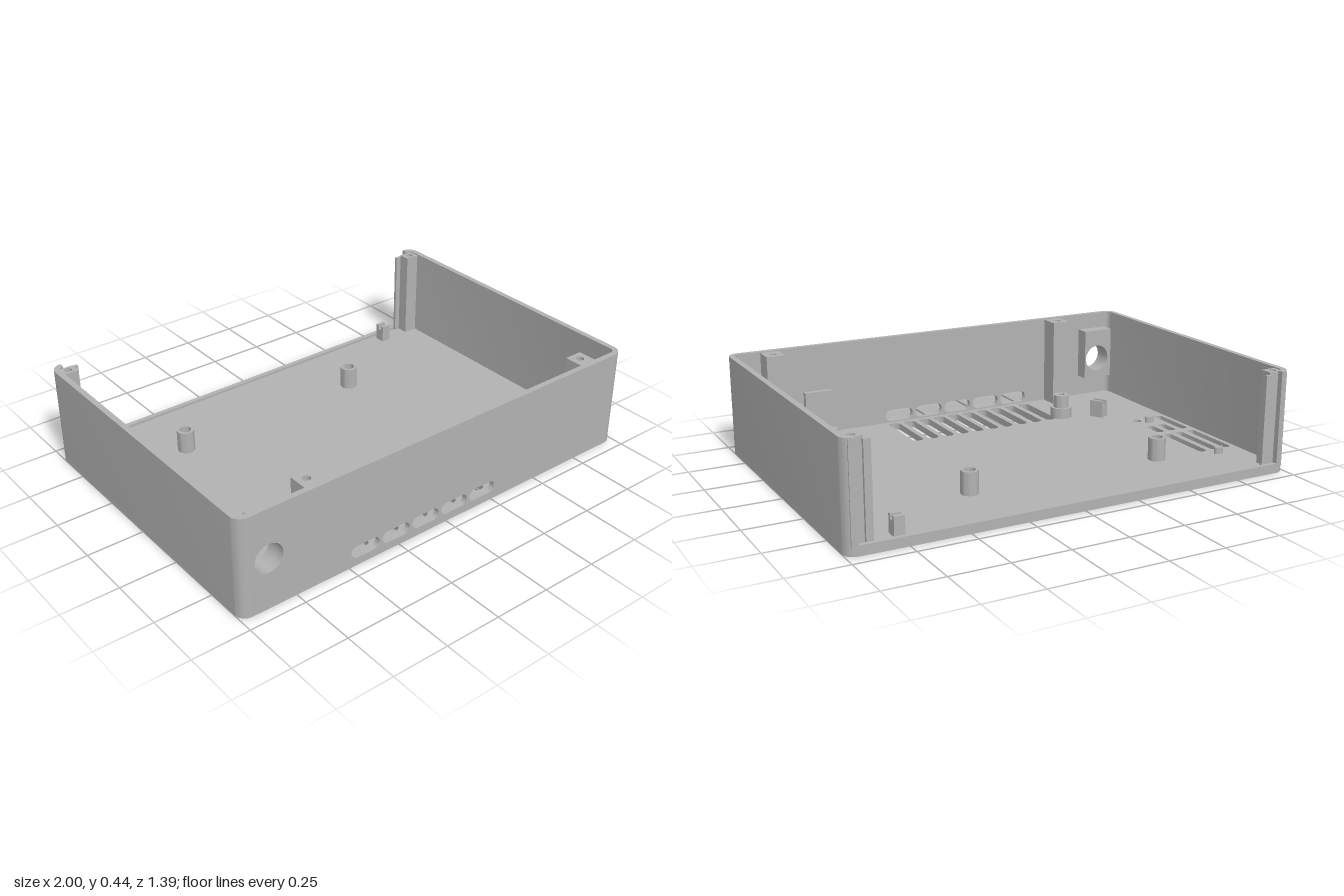
import * as THREE from 'three';
import { toCreasedNormals } from 'three/addons/utils/BufferGeometryUtils.js';

const X = 1, Z = 0.695, H = 0.445, R = 0.05, WALL = 0.025, FLOOR = 0.03;

// Rounded-end slot, used as a hole
function slot(x0, x1, y0, y1) {
  const p = new THREE.Path(), w = x1 - x0, h = y1 - y0, r = Math.min(w, h) / 2 * 0.98;
  p.moveTo(x0 + r, y0);
  p.lineTo(x1 - r, y0); p.absarc(x1 - r, y0 + r, r, -Math.PI / 2, 0);
  p.lineTo(x1, y1 - r); p.absarc(x1 - r, y1 - r, r, 0, Math.PI / 2);
  p.lineTo(x0 + r, y1); p.absarc(x0 + r, y1 - r, r, Math.PI / 2, Math.PI);
  p.lineTo(x0, y0 + r); p.absarc(x0 + r, y0 + r, r, Math.PI, Math.PI * 1.5);
  return p;
}
function circle(x, y, r) {
  return new THREE.Path().absarc(x, y, r, 0, Math.PI * 2);
}
function rect(x0, x1, y0, y1) {
  return new THREE.Shape([[x0, y0], [x1, y0], [x1, y1], [x0, y1]].map(p => new THREE.Vector2(...p)));
}

export function createModel() {
  const model = new THREE.Group();
  model.name = 'openEnclosure';
  const grey = new THREE.MeshStandardMaterial({ color: 0xb2b2b2 });
  grey.name = 'grey plastic';

  function add(name, geometry) {
    const mesh = new THREE.Mesh(geometry, grey);
    mesh.name = name;
    model.add(mesh);
    return mesh;
  }
  const extrude = (shape, depth) => toCreasedNormals(
    new THREE.ExtrudeGeometry(shape, { depth, bevelEnabled: false, curveSegments: 10 }), 0.6);
  // Plan shape (x, -z) raised from y0 to y1
  const raise = (name, shape, y0, y1) =>
    add(name, extrude(shape, y1 - y0).rotateX(-Math.PI / 2).translate(0, y0, 0));
  // Upright shape (x, y) from z0 to z1
  const upright = (name, shape, z0, z1) => add(name, extrude(shape, z1 - z0).translate(0, 0, z0));
  const box = (name, x0, x1, y0, y1, z0, z1) =>
    add(name, new THREE.BoxGeometry(x1 - x0, y1 - y0, z1 - z0)
      .translate((x0 + x1) / 2, (y0 + y1) / 2, (z0 + z1) / 2));

  // Floor with vents
  const floor = new THREE.Shape();
  floor.moveTo(-X + R, -Z);
  floor.lineTo(X - R, -Z); floor.absarc(X - R, -Z + R, R, -Math.PI / 2, 0);
  floor.lineTo(X, Z - R); floor.absarc(X - R, Z - R, R, 0, Math.PI / 2);
  floor.lineTo(-X + R, Z); floor.absarc(-X + R, Z - R, R, Math.PI / 2, Math.PI);
  floor.lineTo(-X, -Z + R); floor.absarc(-X + R, -Z + R, R, Math.PI, Math.PI * 1.5);
  const vent = (cx, w, z0, z1) => floor.holes.push(slot(cx - w / 2, cx + w / 2, -z1, -z0));
  for (let i = 0; i < 10; i++) vent(-0.46 + i * 0.0772, 0.053, 0.35, 0.65);
  [-0.935, -0.87, -0.805].forEach((x, i) => {
    vent(x, 0.037, -0.385, -0.1);
    vent(x, 0.037, -0.065, i ? 0.04 : 0.16);
    if (i) vent(x, 0.037, 0.115, 0.16);
  });
  raise('floor', floor, 0, FLOOR);
  box('rearSill', -0.95, 0.95, FLOOR, 0.042, -Z, -Z + 0.02);

  // Front wall with round port and slots
  const front = rect(-X + R, X - R, FLOOR, H);
  front.holes.push(circle(-0.87, 0.228, 0.064));
  for (let i = 0; i < 5; i++) front.holes.push(slot(-0.49 + i * 0.1535, -0.352 + i * 0.1535, 0.036, 0.091));
  upright('frontWall', front, Z - WALL, Z);

  // Boss behind the round port
  const boss = rect(-0.95, -0.8, 0.13, 0.37);
  boss.holes.push(circle(-0.87, 0.228, 0.064));
  upright('portBoss', boss, 0.605, Z - WALL);

  // Side walls with rounded ends, and rear posts with a panel groove
  for (const s of [-1, 1]) {
    const pts = [];
    const arc = (cz, r, a0, a1) => {
      for (let i = 0; i <= 10; i++) {
        const a = a0 + (a1 - a0) * i / 10;
        pts.push(new THREE.Vector2(s * (X - R + r * Math.cos(a)), cz + r * Math.sin(a)));
      }
    };
    const q = Math.PI / 2, r = R - WALL;
    arc(-Z + R, R, -q, 0);
    arc(Z - R, R, 0, q);
    arc(Z - R, r, q, 0);
    arc(-Z + R, r, 0, -q);
    raise('sideWall', new THREE.Shape(pts), FLOOR, H);

    const side = (a, b) => s > 0 ? [a, b] : [-b, -a];
    const post = rect(...side(0.91, 0.978), 0.612, 0.664);
    post.holes.push(circle(s * 0.944, 0.638, 0.016));
    raise('rearPost', post, FLOOR, H - 0.005);
    box('grooveLip', ...side(0.95, 0.978), FLOOR, H - 0.005, -Z + 0.003, -0.679);
    box('grooveBack', ...side(0.966, 0.98), FLOOR, H - 0.005, -0.68, -0.66);
    box('grooveRib', ...side(0.885, 0.915), FLOOR, H - 0.015, -0.677, -0.664);
  }

  // Front screw posts
  for (const x of [-0.643, 0.812]) {
    const post = rect(x - 0.042, x + 0.042, -Z + WALL, -0.58);
    post.holes.push(circle(x, -0.62, 0.017));
    raise('frontPost', post, FLOOR, H - 0.005);
  }

  // Standoffs, turned from [radius, height] profiles
  function standoff(name, x, z, profile) {
    const geometry = new THREE.LatheGeometry(profile.map(p => new THREE.Vector2(...p)), 28);
    add(name, toCreasedNormals(geometry, 0.6)).position.set(x, FLOOR, z);
  }
  for (const x of [-0.56, 0.345])
    standoff('rearStandoff', x, -0.37, [[0.038, 0], [0.038, 0.1], [0.025, 0.1], [0.025, 0.01], [0, 0.01]]);
  for (const x of [-0.525, 0.65])
    standoff('frontStandoff', x, 0.375,
      [[0.05, 0], [0.05, 0.05], [0.036, 0.05], [0.036, 0.11], [0.016, 0.11], [0.016, 0.01], [0, 0.01]]);

  // Small locating pegs beside the side vents
  for (const z of [-0.435, 0.095]) {
    const peg = add('peg', new THREE.CylinderGeometry(0.022, 0.022, 0.03, 20));
    peg.scale.z = 0.65;
    peg.position.set(-0.845, FLOOR + 0.015, z);
  }

  // Upright bracket plate
  box('bracketPlate', 0.585, 0.71, FLOOR, 0.275, 0.505, 0.53);
  box('bracketRib', 0.6, 0.695, FLOOR, 0.26, 0.53, 0.555);

  // Cable clips: notched blocks
  function clip(x, z, w, d, h, turn) {
    const shape = new THREE.Shape([[-0.5, 0], [0.5, 0], [0.5, 1], [0.2, 1], [0.2, 0.75],
      [-0.2, 0.75], [-0.2, 1], [-0.5, 1]].map(([a, b]) => new THREE.Vector2(a * d, b * h)));
    const mesh = add('cableClip', extrude(shape, w).translate(0, 0, -w / 2));
    mesh.position.set(x, FLOOR, z);
    mesh.rotation.y = turn;
  }
  clip(0.775, -0.63, 0.045, 0.05, 0.08, Math.PI / 2);
  clip(-0.69, 0.3, 0.065, 0.052, 0.08, 0.5);

  return model;
}
